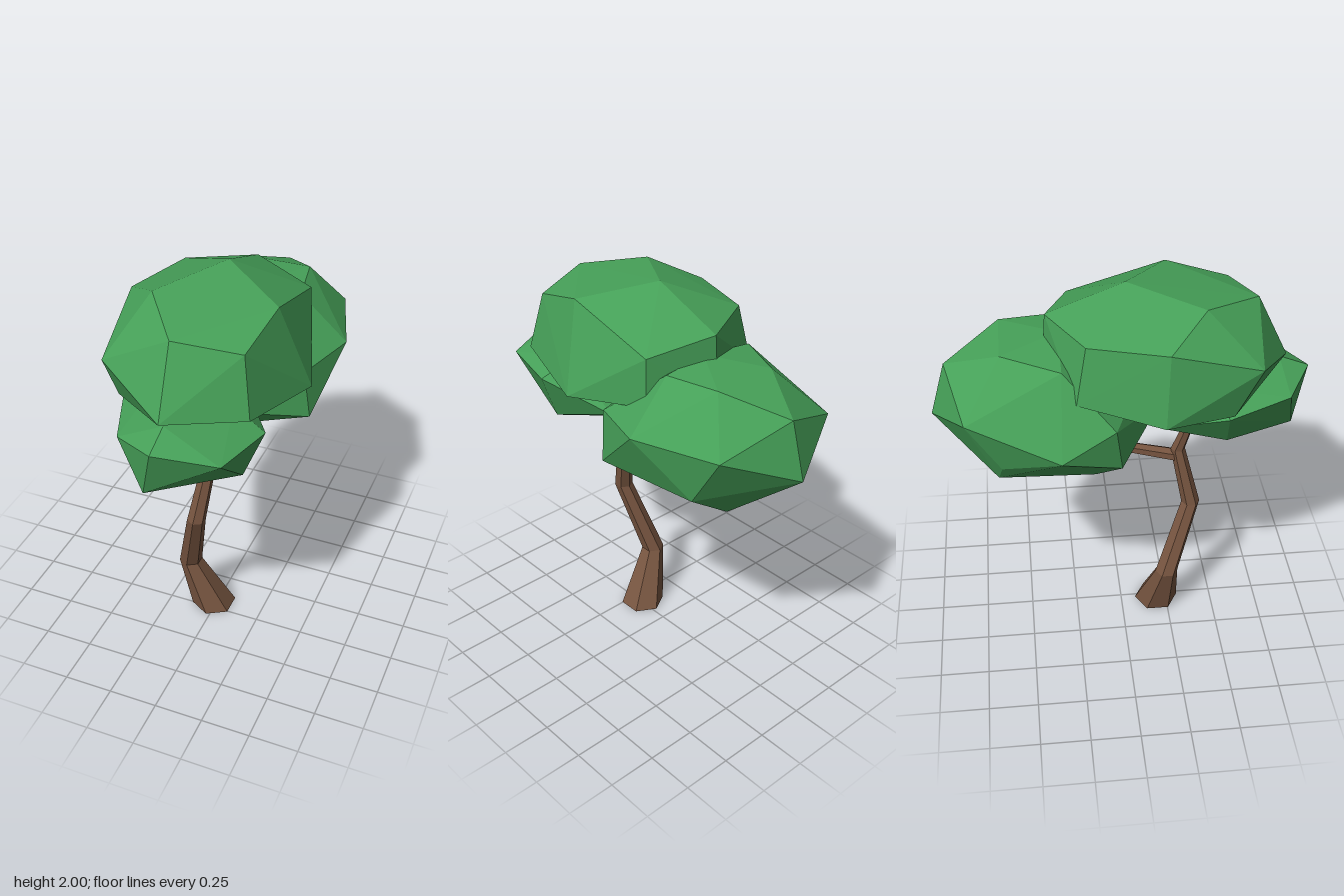
import * as THREE from 'three';
import { ConvexGeometry } from 'three/addons/geometries/ConvexGeometry.js';

const SIDES = 6;
const bark = new THREE.MeshStandardMaterial({ color: 0x775540, flatShading: true });
const leaf = new THREE.MeshStandardMaterial({ color: 0x46a058, flatShading: true });

// Six-sided limb through rings [x, y, z, radius]; tilt leans the rings back about x.
function limb(name, rings, tilt = 0) {
  const ring = ([x, y, z, r]) => Array.from({ length: SIDES }, (_, j) => {
    const a = (j / SIDES) * Math.PI * 2;
    return new THREE.Vector3(Math.sin(a) * r, 0, Math.cos(a) * r)
      .applyAxisAngle(new THREE.Vector3(1, 0, 0), -tilt)
      .add(new THREE.Vector3(x, y, z));
  });
  const loops = rings.map(ring);
  const pts = [];
  for (let i = 0; i < loops.length - 1; i++) {
    for (let j = 0; j < SIDES; j++) {
      const k = (j + 1) % SIDES;
      const [a, b, c, d] = [loops[i][j], loops[i][k], loops[i + 1][k], loops[i + 1][j]];
      pts.push(a, b, c, a, c, d);
    }
  }
  // End caps
  const first = loops[0], last = loops[loops.length - 1];
  for (let j = 1; j < SIDES - 1; j++) {
    pts.push(first[0], first[j + 1], first[j], last[0], last[j], last[j + 1]);
  }
  const geometry = new THREE.BufferGeometry().setFromPoints(pts);
  geometry.computeVertexNormals();
  const mesh = new THREE.Mesh(geometry, bark);
  mesh.name = name;
  return mesh;
}

// Faceted leaf mass: the hull around a few corner points
function foliage(name, corners) {
  const points = corners.map((c) => new THREE.Vector3(...c));
  const mesh = new THREE.Mesh(new ConvexGeometry(points), leaf);
  mesh.name = name;
  return mesh;
}

export function createModel() {
  const tree = new THREE.Group();
  tree.name = 'tree';

  // Crooked trunk with a flared foot
  tree.add(limb('trunk', [
    [-0.02, 0, 0.195, 0.117],
    [-0.135, 0.3, 0.235, 0.06],
    [-0.04, 0.7, 0.365, 0.048],
    [0.005, 1.02, 0.295, 0.037],
    [-0.025, 1.3, 0.38, 0.022],
  ]));

  // Side branch reaching back
  tree.add(limb('branch', [
    [0.01, 0.97, 0.3, 0.036],
    [0.07, 1.025, -0.06, 0.027],
    [0.15, 1.15, -0.2, 0.025],
  ], Math.PI * 0.42));

  // Upper crown
  tree.add(foliage('upperFoliage', [
    [0, 2, 0.02], [-0.23, 1.96, 0.37], [0.33, 1.93, 0.25], [-0.43, 1.85, 0.18],
    [-0.02, 1.9, 0.65], [0.29, 1.85, 0.56], [0, 1.85, -0.36], [0.32, 1.79, -0.24],
    [-0.32, 1.85, -0.19], [-0.37, 1.71, 0.62],
    [0.34, 1.56, 0.62], [-0.01, 1.57, 0.81], [0.47, 1.5, 0.16], [-0.49, 1.5, 0.16],
    [0.33, 1.55, -0.25], [0, 1.56, -0.38], [-0.36, 1.57, -0.24],
    [-0.36, 1.46, 0.5], [0, 1.35, 0.15],
  ]));

  // Large rear mass
  tree.add(foliage('rearFoliage', [
    [0.02, 1.74, -0.3], [0.25, 1.71, -0.3], [-0.28, 1.7, -0.3],
    [0.2, 1.72, -0.58], [-0.14, 1.72, -0.58], [0, 1.61, -0.85],
    [0.35, 1.48, -0.75], [-0.35, 1.48, -0.76], [0.49, 1.48, -0.32], [-0.5, 1.34, -0.32],
    [0, 1.33, -0.93], [0.38, 1.46, 0], [-0.42, 1.45, -0.06],
    [0.41, 1.2, -0.02], [-0.38, 1.21, -0.03], [0.35, 1.21, -0.58], [-0.33, 1.21, -0.6],
    [0.16, 1.09, -0.62], [-0.24, 1.09, -0.62], [0.12, 1.05, -0.27],
    [-0.26, 1.09, -0.15], [0.1, 1.13, 0.05], [0.05, 1.27, 0.2], [0, 1.47, 0.1],
  ]));

  // Small front mass
  tree.add(foliage('frontFoliage', [
    [0, 1.49, 0.93], [-0.22, 1.45, 0.8], [0.29, 1.44, 0.83], [-0.08, 1.21, 0.85],
    [0, 1.55, 0.78], [0.2, 1.51, 0.46], [-0.2, 1.51, 0.46],
    [0.37, 1.43, 0.5], [-0.35, 1.43, 0.48], [0.27, 1.18, 0.52], [-0.22, 1.22, 0.5],
    [0, 1.11, 0.5], [0.2, 1.3, 0.17], [-0.2, 1.3, 0.17], [0, 1.21, 0.18],
  ]));

  return tree;
}
